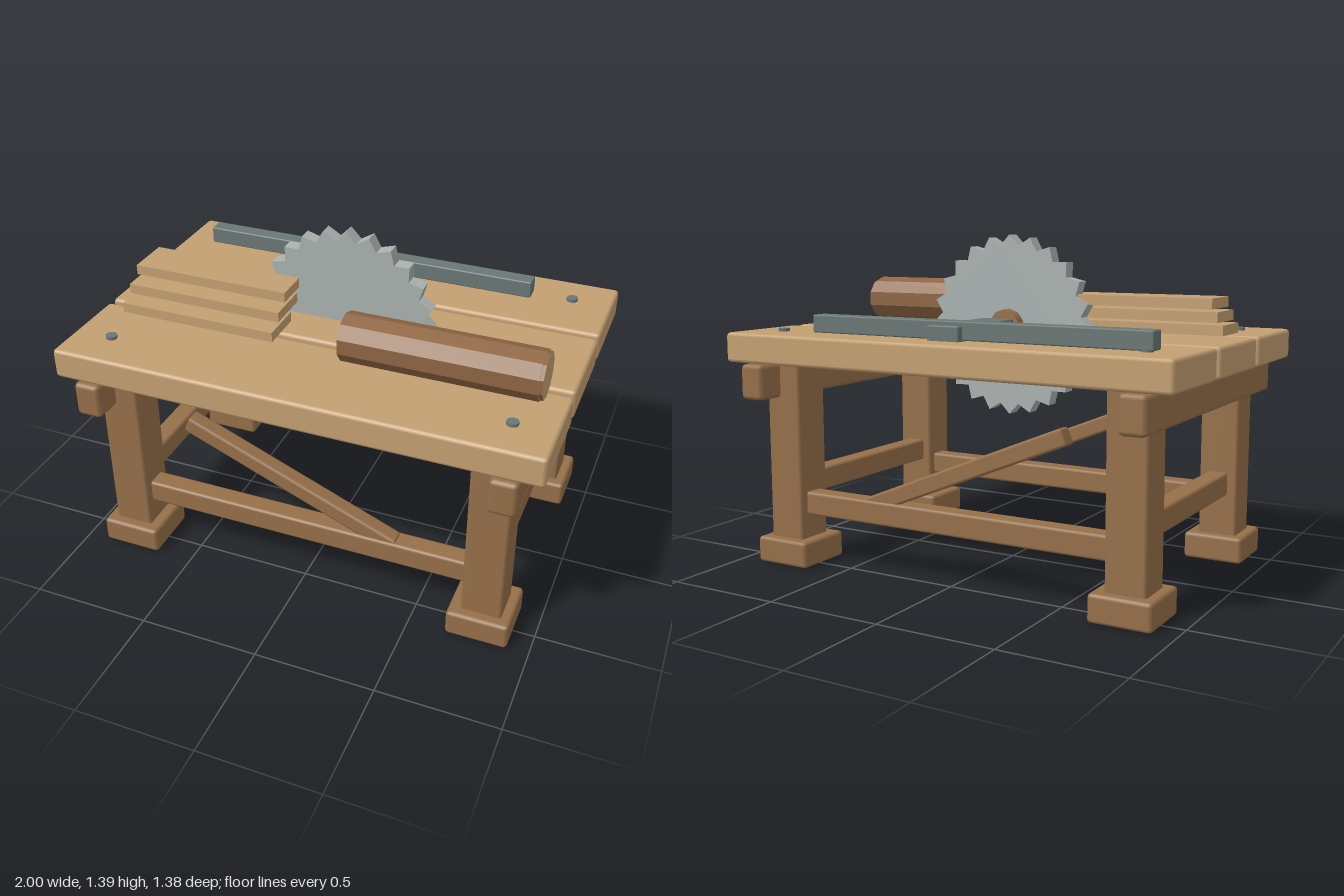
import * as THREE from 'three';
import { RoundedBoxGeometry } from 'three/addons/geometries/RoundedBoxGeometry.js';

export function createModel() {
  const root = new THREE.Group();
  root.name = 'sawBench';

  const material = (name, color, extra = {}) => {
    const m = new THREE.MeshStandardMaterial({ color, ...extra });
    m.name = name;
    return m;
  };
  const paleWood = material('paleWood', 0xc4a072);
  const darkWood = material('darkWood', 0x96704a);
  const bark = material('bark', 0x8f6644, { flatShading: true });
  const iron = material('iron', 0x6a7775);
  const steel = material('steel', 0xaab2b0, { flatShading: true });

  const add = (name, geometry, mat, x = 0, y = 0, z = 0) => {
    const mesh = new THREE.Mesh(geometry, mat);
    mesh.name = name;
    mesh.position.set(x, y, z);
    root.add(mesh);
    return mesh;
  };
  // Box given by its limits on each axis, with a small bevel
  const block = (name, mat, [x0, x1], [y0, y1], [z0, z1], bevel = 0.012) => {
    const size = [x1 - x0, y1 - y0, z1 - z0];
    const geometry = bevel > 0
      ? new RoundedBoxGeometry(...size, 1, bevel)
      : new THREE.BoxGeometry(...size);
    return add(name, geometry, mat, (x0 + x1) / 2, (y0 + y1) / 2, (z0 + z1) / 2);
  };
  const around = (c, half) => [c - half, c + half];

  // Table top: three thick planks
  for (const z of [-0.457, 0, 0.457]) {
    block('topPlank', paleWood, [-1, 1], [0.865, 0.99], around(z, 0.215), 0.015);
  }

  for (const sx of [-1, 1]) {
    // Cross beam under the planks and low side rail
    block('crossBeam', darkWood, around(sx * 0.855, 0.055), [0.715, 0.863], [-0.688, 0.688], 0.018);
    block('sideRail', darkWood, around(sx * 0.785, 0.045), [0.285, 0.385], [-0.41, 0.41]);
    for (const sz of [-1, 1]) {
      block('leg', darkWood, around(sx * 0.787, 0.083), [0.08, 0.866], around(sz * 0.485, 0.084));
      block('foot', darkWood, around(sx * 0.783, 0.128), [0, 0.112], around(sz * 0.485, 0.128), 0.015);
      add('peg', new THREE.CylinderGeometry(0.024, 0.024, 0.03, 10), iron, sx * 0.83, 0.988, sz * 0.5);
    }
  }

  // Long rails with a slanted brace resting on each
  for (const z of [-0.485, 0.485]) {
    block('longRail', darkWood, [-0.715, 0.715], [0.213, 0.312], around(z, 0.045));
    const brace = block('brace', darkWood, [-0.49, 0.49], around(0, 0.036), around(0, 0.036));
    brace.position.set(-0.057, 0.471, z);
    brace.rotation.z = -0.391;
  }

  // Toothed saw blade
  const teeth = 24;
  const outline = [];
  for (let i = 0; i < teeth * 2; i++) {
    const a = Math.PI / 2 + (i * Math.PI) / teeth;
    const r = i % 2 ? 0.337 : 0.38;
    outline.push(new THREE.Vector2(Math.cos(a) * r, Math.sin(a) * r));
  }
  const blade = new THREE.ExtrudeGeometry(new THREE.Shape(outline), { depth: 0.06, bevelEnabled: false });
  add('sawBlade', blade, steel, 0, 1.015, -0.03);

  // Hub at the back of the blade
  const hub = new THREE.CylinderGeometry(0.07, 0.07, 0.06, 10).rotateX(Math.PI / 2);
  add('bladeHub', hub, darkWood, 0, 1.015, -0.045);

  // Guide fence: long bar over a short arm
  block('fenceBar', iron, [-0.86, 0.66], [0.993, 1.067], [-0.516, -0.443], 0.006);
  block('fenceArm', iron, [-0.072, 0.072], [0.957, 1.05], [-0.548, -0.12], 0.006);

  // Stack of three staggered boards
  for (let i = 0; i < 3; i++) {
    const y = 1.018 + i * 0.057;
    block('cutBoard', paleWood, [-0.89, -0.208], around(y, 0.021), around(0.212 - i * 0.066, 0.094), 0);
  }

  // Ten-sided log with a sawn end disc
  const logGeometry = (r, length) => new THREE.CylinderGeometry(r, r, length, 10)
    .rotateY(Math.PI / 10).rotateZ(-Math.PI / 2);
  add('log', logGeometry(0.1, 0.785), [bark, paleWood, paleWood], 0.4975, 1.09, 0.295);
  add('logEnd', logGeometry(0.094, 0.03), [bark, paleWood, paleWood], 0.888, 1.09, 0.295);

  return root;
}
